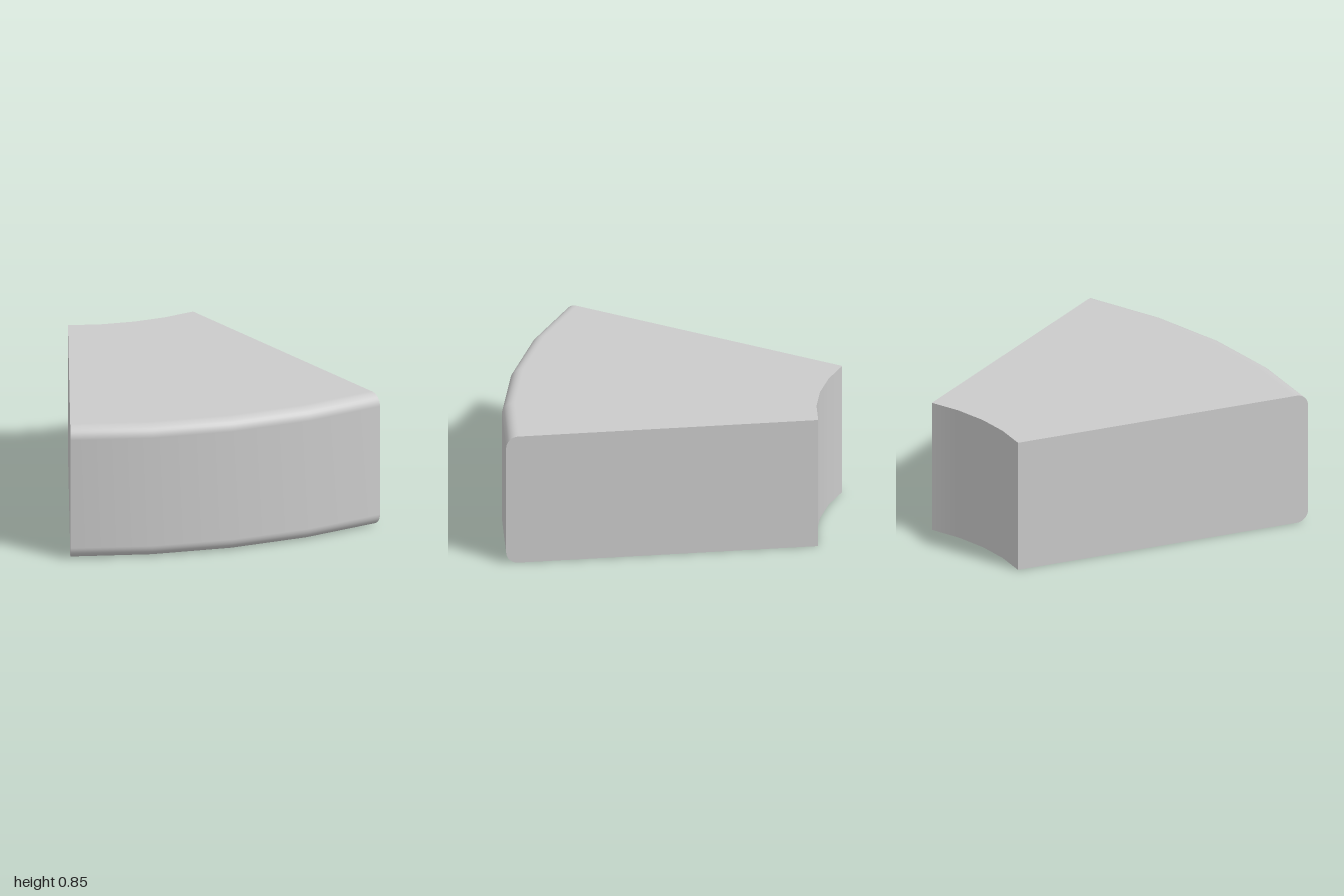
import * as THREE from 'three';

const HALF = Math.PI / 10;          // half of the wedge angle
const R_OUT = 3.236, R_IN = 1.307;  // arc radii
const HEIGHT = 0.85, FILLET = 0.075;
const CENTRE_Z = -2.24;             // centre of the arcs
const SEGMENTS = 4;

// Cross-section from the inner bottom edge, round the outer face, to the inner top edge
function sectionPoints() {
  const pts = [new THREE.Vector2(R_IN, 0), new THREE.Vector2(R_OUT - FILLET - 0.01, 0)];
  const steps = 8;
  for (const [cy, start] of [[FILLET, -Math.PI / 2], [HEIGHT - FILLET, 0]]) {
    for (let i = 0; i <= steps; i++) {
      const a = start + (i / steps) * Math.PI / 2;
      pts.push(new THREE.Vector2(R_OUT - FILLET + FILLET * Math.cos(a), cy + FILLET * Math.sin(a)));
    }
  }
  pts.push(new THREE.Vector2(R_OUT - FILLET - 0.01, HEIGHT), new THREE.Vector2(R_IN, HEIGHT));
  return pts;
}

export function createModel() {
  const group = new THREE.Group();
  group.name = 'curvedWedge';
  const material = new THREE.MeshStandardMaterial({ color: 0xcccccc });
  const section = sectionPoints();

  const add = (name, geometry) => {
    geometry.translate(0, 0, CENTRE_Z);
    const mesh = new THREE.Mesh(geometry, material);
    mesh.name = name;
    group.add(mesh);
  };
  const sweep = (pts) => new THREE.LatheGeometry(pts, SEGMENTS, -HALF, 2 * HALF);

  // Bottom, rounded outer face and top in one sweep
  add('outerShell', sweep(section));

  // Concave back wall
  add('innerWall', sweep([new THREE.Vector2(R_IN, HEIGHT), new THREE.Vector2(R_IN, 0)]));

  // Flat radial sides, mirrored so that both face outwards
  for (const side of [-1, 1]) {
    const shape = new THREE.Shape(section.map((p) => new THREE.Vector2(-side * p.x, p.y)));
    const cap = new THREE.ShapeGeometry(shape);
    cap.rotateY(side * (HALF + Math.PI / 2));
    add(side > 0 ? 'leftSide' : 'rightSide', cap);
  }
  return group;
}
